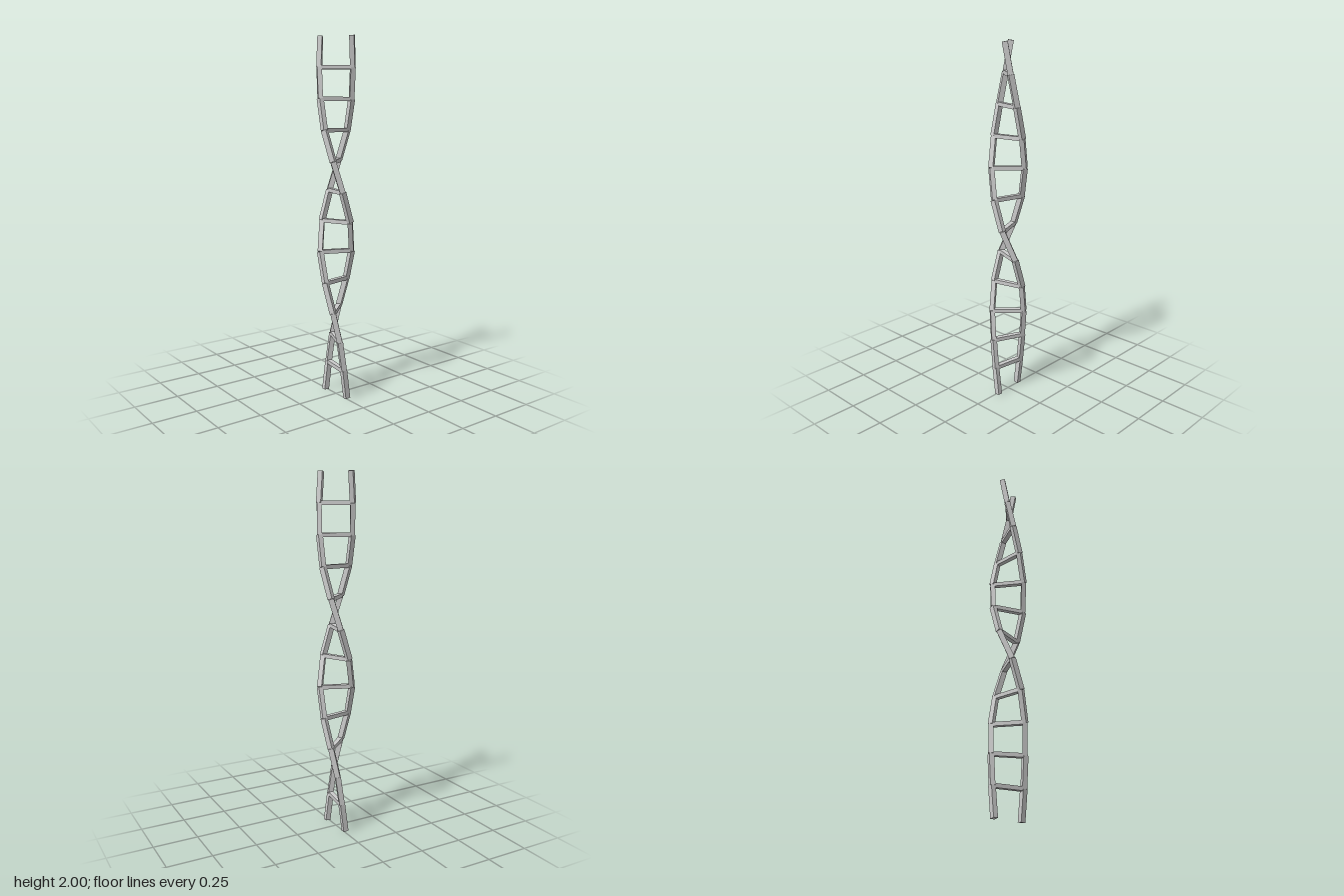
import * as THREE from 'three';

const RADIUS = 0.09;
// Twist angle in degrees at each evenly spaced level, bottom to top
const TWIST = [-6, 8, 23, 47, 77, 111, 157, 193, 226, 260, 286, 308, 327];

export function createModel() {
  const model = new THREE.Group();
  model.name = 'twistedLadder';
  const material = new THREE.MeshStandardMaterial({ color: 0xcccccc, flatShading: true });
  const last = TWIST.length - 1;

  const node = (i, side) => {
    const a = THREE.MathUtils.degToRad(TWIST[i]);
    const y = THREE.MathUtils.clamp((2 * i) / last, 0.003, 1.997);
    return new THREE.Vector3(side * RADIUS * Math.cos(a), y, side * RADIUS * Math.sin(a));
  };

  // Two rails, each a chain of straight square bars
  for (const side of [1, -1]) {
    const rail = new THREE.Group();
    rail.name = side > 0 ? 'leftRail' : 'rightRail';
    for (let i = 0; i < last; i++) {
      const a = node(i, side), b = node(i + 1, side);
      const along = b.clone().sub(a);
      const length = along.length();
      along.normalize();
      const mid = a.add(b).multiplyScalar(0.5);
      // the bar's flat side faces away from the ladder's axis
      const outward = new THREE.Vector3(mid.x, 0, mid.z).normalize();
      const across = outward.clone().cross(along).normalize();
      outward.crossVectors(along, across);
      const bar = new THREE.Mesh(new THREE.BoxGeometry(0.026, length, 0.03), material);
      bar.name = 'railSegment';
      bar.quaternion.setFromRotationMatrix(new THREE.Matrix4().makeBasis(outward, along, across));
      bar.position.copy(mid);
      rail.add(bar);
    }
    model.add(rail);
  }

  // Rungs at every joint between rail segments
  for (let i = 1; i < last; i++) {
    const rung = new THREE.Mesh(new THREE.BoxGeometry(2 * RADIUS - 0.012, 0.022, 0.027), material);
    rung.name = 'rung';
    rung.position.y = (2 * i) / last;
    rung.rotation.y = -THREE.MathUtils.degToRad(TWIST[i]);
    model.add(rung);
  }
  return model;
}
